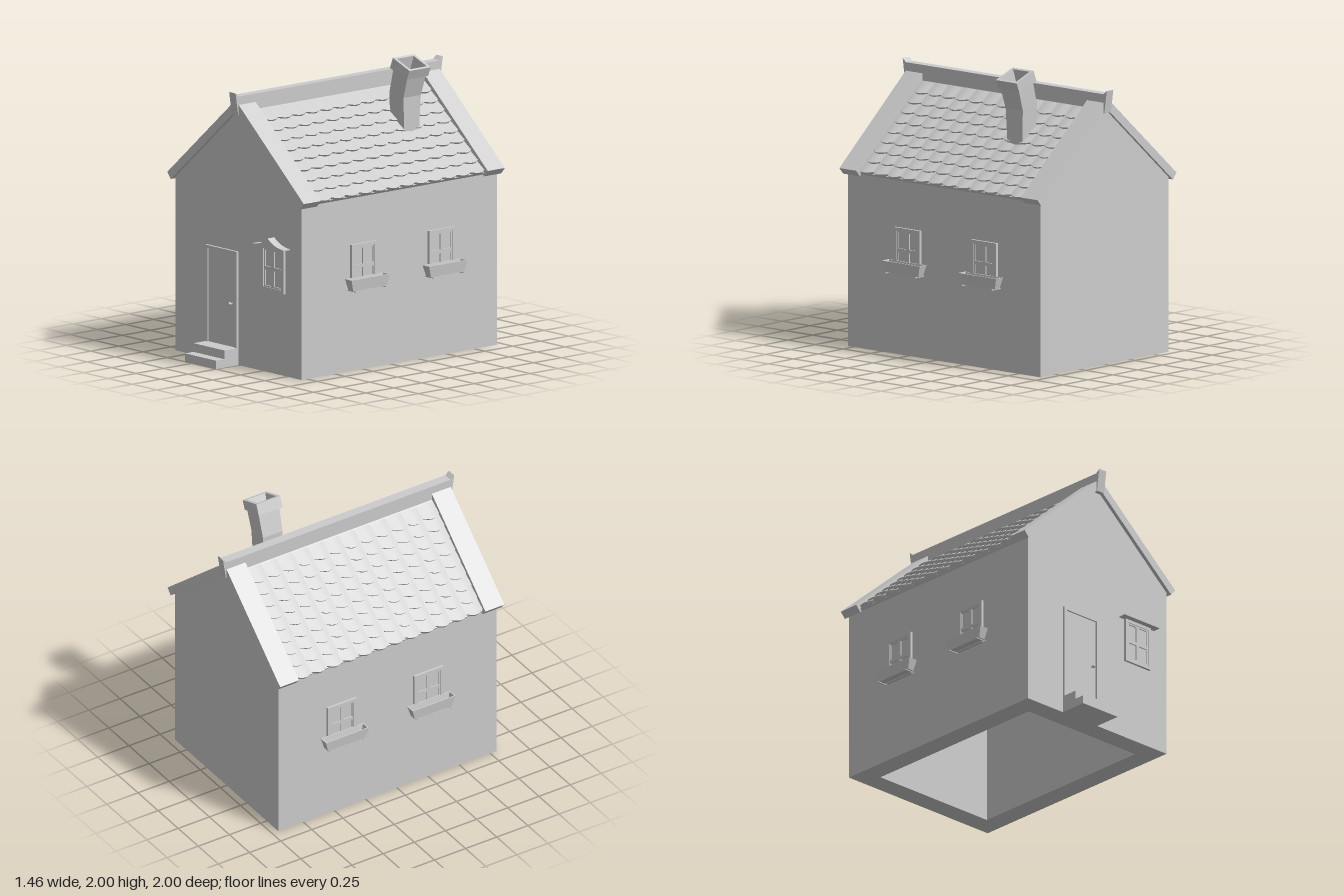
import * as THREE from 'three';
import { toCreasedNormals } from 'three/addons/utils/BufferGeometryUtils.js';

const mat = new THREE.MeshStandardMaterial({ color: 0xcccccc });
const thin = new THREE.MeshStandardMaterial({ color: 0xcccccc, side: THREE.DoubleSide });

// Roof pitch: s runs down the slope from the ridge, n is the height above it
const PITCH = Math.atan(0.865), C = Math.cos(PITCH), S = Math.sin(PITCH);
const APEX = 1.755;
const onSlope = (s, n) => [s * C + n * S, APEX - s * S + n * C];

function add(parent, name, geo, x = 0, y = 0, z = 0, material = mat) {
  const m = new THREE.Mesh(geo, material);
  m.name = name;
  m.position.set(x, y, z);
  parent.add(m);
  return m;
}

// Box given by its minimum and maximum corners
function block(parent, name, [x0, y0, z0], [x1, y1, z1]) {
  return add(parent, name, new THREE.BoxGeometry(x1 - x0, y1 - y0, z1 - z0),
    (x0 + x1) / 2, (y0 + y1) / 2, (z0 + z1) / 2);
}

const polygon = pts => new THREE.Shape(pts.map(p => new THREE.Vector2(...p)));
const rect = (x0, y0, x1, y1) => polygon([[x0, y0], [x1, y0], [x1, y1], [x0, y1]]);
const extrude = (shape, depth) =>
  new THREE.ExtrudeGeometry(shape, { depth, bevelEnabled: false, curveSegments: 10 });

function meshFromQuads(quads, crease) {
  const pos = [];
  for (const [a, b, c, d] of quads) pos.push(...a, ...b, ...c, ...a, ...c, ...d);
  const g = new THREE.BufferGeometry();
  g.setAttribute('position', new THREE.Float32BufferAttribute(pos, 3));
  g.computeVertexNormals();
  return crease ? toCreasedNormals(g, crease) : g;
}

// Skin through four-cornered rings, with the first and last ring closed
function loft(rings) {
  const quads = [[...rings[0]].reverse(), rings[rings.length - 1]];
  for (let i = 0; i + 1 < rings.length; i++) {
    for (let j = 0; j < 4; j++) {
      const k = (j + 1) % 4;
      quads.push([rings[i][j], rings[i][k], rings[i + 1][k], rings[i + 1][j]]);
    }
  }
  return meshFromQuads(quads);
}

// Two sloping slabs joined at the ridge
function chevron(thickness, length, depth) {
  const [ax, ay] = onSlope(length, 0), [bx, by] = onSlope(length, thickness);
  return extrude(polygon([[0, APEX], [ax, ay], [bx, by], [0, APEX + thickness / C],
    [-bx, by], [-ax, ay]]), depth);
}

// One slope of overlapping scalloped tiles, running down towards +x
function tileSlope(width) {
  const rows = 9, cols = 12, seg = 8, step = 0.0897, quads = [];
  for (let r = 0; r < rows; r++) {
    const edge = 0.873 - r * step;
    const top = Math.max(edge - step - 0.03, 0.02);
    const section = i => {
      const b = Math.sin(Math.PI * (i % seg) / seg);
      const z = width * (0.5 - i / (cols * seg));
      const low = edge - 0.024 * (1 - b);
      return [[top, 0.024 + 0.006 * b], [low, 0.036 + 0.012 * b], [low, 0.018]]
        .map(([s, n]) => [...onSlope(s, n), z]);
    };
    for (let i = 0; i < cols * seg; i++) {
      const a = section(i), b = section(i + 1);
      quads.push([a[0], a[1], b[1], b[0]], [a[1], a[2], b[2], b[1]]);
    }
  }
  return meshFromQuads(quads, 0.5);
}

// Four-pane window facing +z, with its bottom centre at the origin
function makeWindow(name) {
  const g = new THREE.Group();
  g.name = name;
  const w = 0.117, h = 0.31;
  const frame = rect(-w, 0, w, h);
  frame.holes.push(rect(-w + 0.024, 0.024, w - 0.024, h - 0.022));
  add(g, 'windowFrame', extrude(frame, 0.018));
  const sash = rect(-w + 0.024, 0.024, w - 0.024, h - 0.022);
  for (const s of [-1, 1]) {
    const x0 = Math.min(s * 0.013, s * 0.083), x1 = Math.max(s * 0.013, s * 0.083);
    sash.holes.push(rect(x0, 0.035, x1, 0.143), rect(x0, 0.167, x1, 0.278));
  }
  add(g, 'glazingBars', extrude(sash, 0.012));
  block(g, 'glass', [-0.094, 0.024, 0], [0.094, 0.288, 0.003]);
  return g;
}

// Tapered planter with an open top, resting on two pegs
function addPlanter(g) {
  const ring = (hw, y, z0, z1) => [[-hw, y, z1], [hw, y, z1], [hw, y, z0], [-hw, y, z0]];
  add(g, 'flowerBox', loft([
    ring(0.15, 0.004, 0.022, 0.070), ring(0.172, 0.082, 0.011, 0.080),
    ring(0.163, 0.082, 0.019, 0.072), ring(0.145, 0.018, 0.028, 0.064)]));
  for (const x of [-0.135, 0.135]) {
    const peg = add(g, 'flowerBoxPeg', new THREE.CylinderGeometry(0.005, 0.005, 0.085, 10), x, 0, 0.0425);
    peg.rotation.x = Math.PI / 2;
  }
}

export function createModel() {
  const house = new THREE.Group();
  house.name = 'house';

  // Hollow shell: side walls with a sloping ceiling, closed by two gables
  const W = 0.645, eave = APEX - W * 0.865, inW = 0.495, inApex = 1.66;
  add(house, 'sideWalls', extrude(polygon([
    [-W, 0], [-inW, 0], [-inW, inApex - inW * 0.865], [0, inApex], [inW, inApex - inW * 0.865],
    [inW, 0], [W, 0], [W, eave], [0, APEX], [-W, eave]]), 1.45), 0, 0, -0.8);
  const gable = polygon([[-W, 0], [W, 0], [W, eave], [0, APEX], [-W, eave]]);
  add(house, 'frontWall', extrude(gable, 0.15), 0, 0, 0.65);
  add(house, 'backWall', extrude(gable, 0.15), 0, 0, -0.95);

  // Roof: base boards, raised bands at both ends and tiled slopes
  add(house, 'roofBoards', chevron(0.02, 0.86, 1.5), 0, 0, -0.82);
  add(house, 'frontRoofBand', chevron(0.057, 0.877, 0.152), 0, 0, 0.675);
  add(house, 'backRoofBand', chevron(0.057, 0.877, 0.152), 0, 0, -0.972);
  const tiles = tileSlope(1.495);
  add(house, 'leftRoofTiles', tiles, 0, 0, -0.0725, thin);
  add(house, 'rightRoofTiles', tiles, 0, 0, -0.0725, thin).rotation.y = Math.PI;

  // Ridge beam with flared ends
  add(house, 'ridgeBeam', extrude(polygon([
    [0.855, 1.885], [0.825, 1.86], [-0.97, 1.86], [-1.0, 1.885], [-0.977, 1.73], [0.832, 1.73]]), 0.066),
  0.033).rotation.y = -Math.PI / 2;

  // Bent chimney with a hollow cap: each ring spans two edge points in x, y
  const cz = -0.447;
  const ring = ([x0, y0], [x1, y1], hz) =>
    [[x0, y0, cz + hz], [x1, y1, cz + hz], [x1, y1, cz - hz], [x0, y0, cz - hz]];
  add(house, 'chimney', loft([
    ring([0.207, 1.44], [0.345, 1.44], 0.064),
    ring([0.207, 1.75], [0.352, 1.735], 0.078),
    ring([0.254, 1.918], [0.397, 1.877], 0.083),
    ring([0.233, 1.925], [0.407, 1.873], 0.095),
    ring([0.263, 2.0], [0.434, 1.936], 0.095),
    ring([0.281, 1.993], [0.416, 1.943], 0.075),
    ring([0.26, 1.90], [0.375, 1.86], 0.065),
    ring([0.23, 1.74], [0.33, 1.73], 0.055)]));

  // Door, its frame and the steps
  const surround = rect(-0.32, 0, 0, 0.783);
  surround.holes.push(rect(-0.3, 0.02, -0.02, 0.763));
  add(house, 'doorFrame', extrude(surround, 0.018), 0, 0, 0.8);
  block(house, 'door', [-0.3, 0.02, 0.79], [-0.02, 0.763, 0.806]);
  add(house, 'doorKnob', new THREE.SphereGeometry(0.012, 16, 12), -0.058, 0.417, 0.828);
  const stem = add(house, 'doorKnobStem', new THREE.CylinderGeometry(0.005, 0.005, 0.025, 10), -0.058, 0.417, 0.815);
  stem.rotation.x = Math.PI / 2;
  block(house, 'upperStep', [-0.32, 0, 0.79], [0, 0.118, 0.925]);
  block(house, 'lowerStep', [-0.32, 0, 0.925], [0, 0.058, 1.0]);

  // Front window under a small swept canopy
  const front = makeWindow('frontWindow');
  front.position.set(0.367, 0.565, 0.8);
  const canopy = new THREE.Shape();
  canopy.moveTo(-0.16, 0.31);
  canopy.lineTo(0.16, 0.31);
  canopy.lineTo(0.16, 0.317);
  canopy.quadraticCurveTo(0.06, 0.322, 0, 0.375);
  canopy.quadraticCurveTo(-0.06, 0.322, -0.16, 0.317);
  add(front, 'windowCanopy', extrude(canopy, 0.06));
  house.add(front);

  // Side windows with flower boxes
  for (const side of [-1, 1]) {
    for (const z of [0.248, -0.447]) {
      const win = makeWindow(side > 0 ? 'leftWindow' : 'rightWindow');
      addPlanter(win);
      win.position.set(side * W, 0.562, z);
      win.rotation.y = side * Math.PI / 2;
      house.add(win);
    }
  }
  return house;
}
